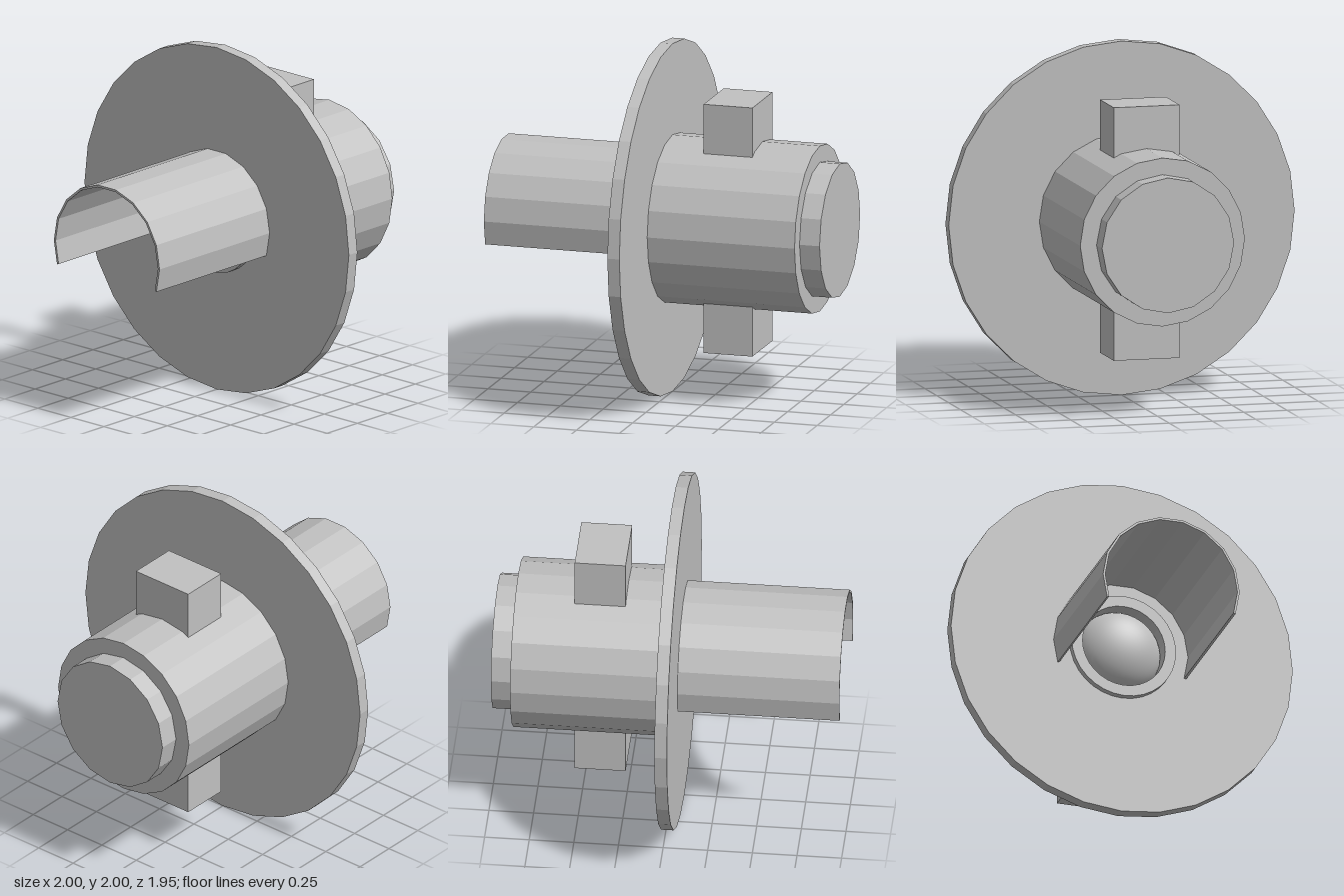
import * as THREE from 'three';

export function createModel() {
  const model = new THREE.Group();
  model.name = 'flangedHub';
  const grey = new THREE.MeshStandardMaterial({ color: 0xc0c0c0 });
  grey.name = 'plain grey';
  const CY = 1; // height of the shared axis

  function add(name, geometry, smooth = false) {
    let g = geometry;
    if (!smooth) {
      if (g.index) g = g.toNonIndexed();
      g.computeVertexNormals(); // faceted normals
    }
    const mesh = new THREE.Mesh(g, grey);
    mesh.name = name;
    mesh.position.y = CY;
    model.add(mesh);
  }

  // points on an arc, angles in degrees
  function arc(radius, from, to, steps) {
    return Array.from({ length: steps + 1 }, (_, i) => {
      const a = THREE.MathUtils.degToRad(from + ((to - from) * i) / steps);
      return new THREE.Vector2(radius * Math.cos(a), radius * Math.sin(a));
    });
  }

  // extrude a shape from z0 to z1
  function slab(shape, z0, z1) {
    return new THREE.ExtrudeGeometry(shape, { depth: z1 - z0, bevelEnabled: false }).translate(0, 0, z0);
  }

  // flat ring with a round hole
  function ring(outer, sides, inner, z0, z1) {
    const shape = new THREE.Shape(arc(outer, 0, 360, sides).slice(0, -1));
    shape.holes.push(new THREE.Path(arc(inner, 0, 360, 32).slice(0, -1)));
    return slab(shape, z0, z1);
  }

  // solid drum along z
  function drum(radius, sides, z0, z1) {
    return new THREE.CylinderGeometry(radius, radius, z1 - z0, sides)
      .rotateX(Math.PI / 2)
      .translate(0, 0, (z0 + z1) / 2);
  }

  // large disc and the raised collar around the dome
  add('flange', ring(1, 28, 0.242, 0, 0.07));
  add('collar', ring(0.305, 32, 0.242, 0.07, 0.107));

  // low dome seated inside the collar
  add('dome', new THREE.SphereGeometry(0.242, 32, 12, 0, Math.PI * 2, 0, Math.PI / 2)
    .rotateX(Math.PI / 2)
    .scale(1, 1, 0.58), true);

  // thin open shell projecting forward
  const shell = new THREE.Shape([...arc(0.4, -20, 200, 11), ...arc(0.387, 200, -20, 11)]);
  add('shell', slab(shell, 0.07, 0.977));

  // rear body and stepped end
  add('hub', drum(0.476, 20, -0.86, 0));
  add('endCap', drum(0.382, 16, -0.977, -0.86));

  // blocks above and below the hub
  for (const [name, side] of [['upperLug', 1], ['lowerLug', -1]]) {
    add(name, new THREE.BoxGeometry(0.38, 0.32, 0.285).translate(0, side * 0.555, -0.383));
  }

  return model;
}
